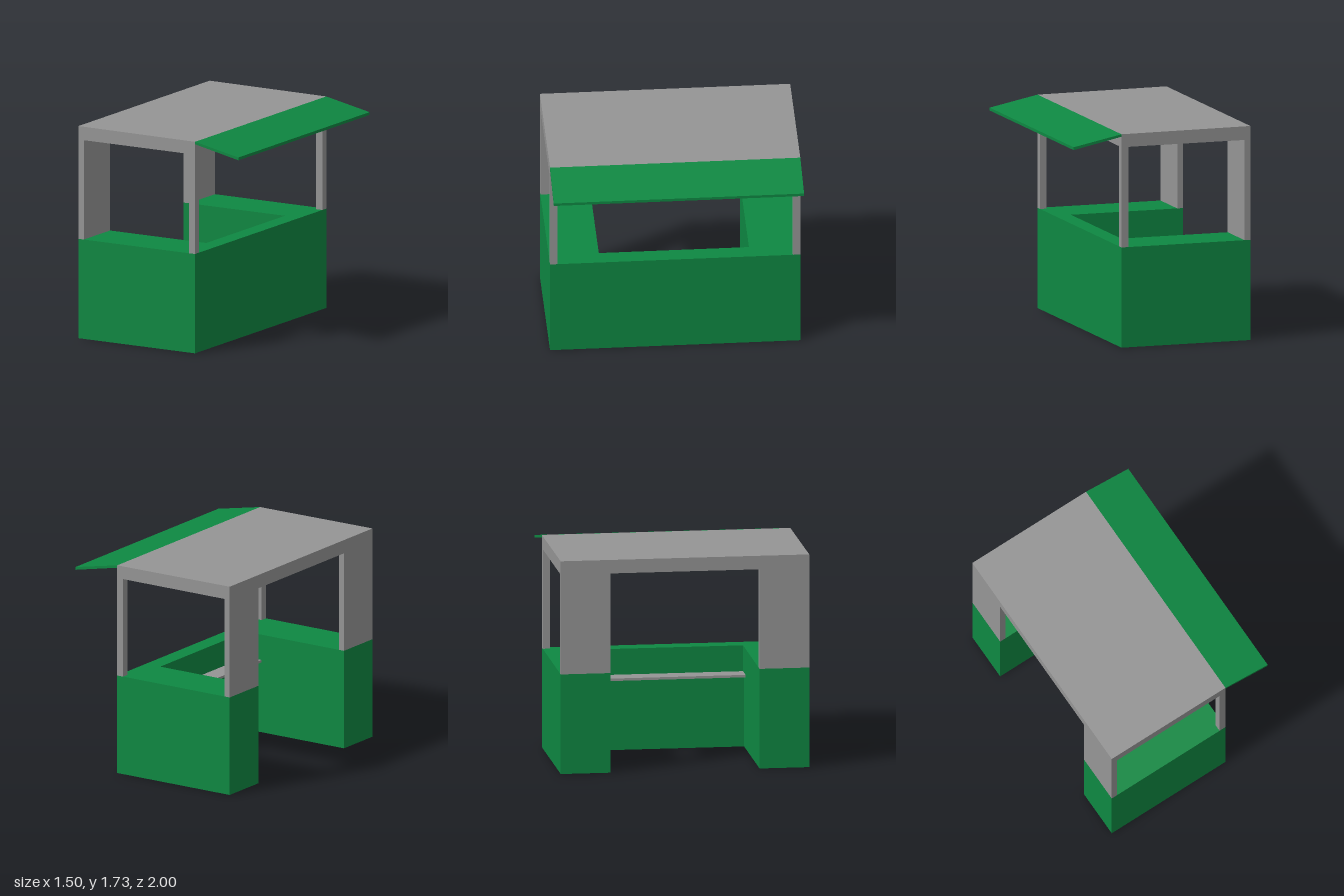
import * as THREE from 'three';

const BACK = -0.75, FRONT = 0.34, HALF = 1, GATE = 0.6;
const COUNTER = 0.81, SHELF = 0.6, EAVES = 1.62;

export function createModel() {
  const green = new THREE.MeshStandardMaterial({ color: 0x0e8842 });
  green.name = 'green';
  const grey = new THREE.MeshStandardMaterial({ color: 0x959595 });
  grey.name = 'grey';

  const group = new THREE.Group();
  group.name = 'kiosk';

  const add = (name, geometry, material) => {
    const mesh = new THREE.Mesh(geometry, material);
    mesh.name = name;
    group.add(mesh);
    return mesh;
  };

  // Box given by its minimum and maximum corners
  const box = (name, material, [x0, y0, z0], [x1, y1, z1]) =>
    add(name, new THREE.BoxGeometry(x1 - x0, y1 - y0, z1 - z0), material)
      .position.set((x0 + x1) / 2, (y0 + y1) / 2, (z0 + z1) / 2);

  const polygon = (points) => new THREE.Shape(points.map(([x, y]) => new THREE.Vector2(x, y)));

  // U-shaped plan, open at the back, raised from y0 to y1
  const counter = (name, inner, y0, y1) => {
    const plan = polygon([
      [BACK, -HALF], [FRONT, -HALF], [FRONT, HALF], [BACK, HALF],
      [BACK, GATE], [inner, GATE], [inner, -GATE], [BACK, -GATE],
    ]);
    const geometry = new THREE.ExtrudeGeometry(plan, { depth: y1 - y0, bevelEnabled: false });
    geometry.rotateX(-Math.PI / 2).translate(0, y0, 0);
    add(name, geometry, green);
  };

  // Side profile extruded over the full width of the kiosk
  const slab = (name, points, material) => {
    const geometry = new THREE.ExtrudeGeometry(polygon(points), { depth: 2 * HALF, bevelEnabled: false });
    geometry.translate(0, 0, -HALF);
    add(name, geometry, material);
  };

  // Counter: thicker wall below the shelf, thinner above
  counter('lowerCounter', 0.14, 0, SHELF - 0.02);
  counter('upperCounter', 0.2, SHELF - 0.02, COUNTER);
  box('innerShelf', grey, [0.05, SHELF - 0.02, -GATE], [0.2, SHELF, GATE]);

  // Front posts and wide back panels, mirrored
  for (const side of [-1, 1]) {
    const span = (a, b) => [Math.min(a * side, b * side), Math.max(a * side, b * side)];
    const [p0, p1] = span(0.94, HALF);
    box('frontPost', grey, [FRONT - 0.057, COUNTER, p0], [FRONT, EAVES, p1]);
    const [w0, w1] = span(GATE, HALF);
    box('backPanel', grey, [BACK, COUNTER, w0], [BACK + 0.05, EAVES, w1]);
  }

  // Roof with a slight fall towards the awning
  slab('roof', [[BACK, EAVES], [FRONT, EAVES], [FRONT, 1.725], [BACK, 1.73]], grey);
  slab('awning', [[FRONT, 1.705], [0.745, 1.62], [0.745, 1.643], [FRONT, 1.725]], green);

  return group;
}
